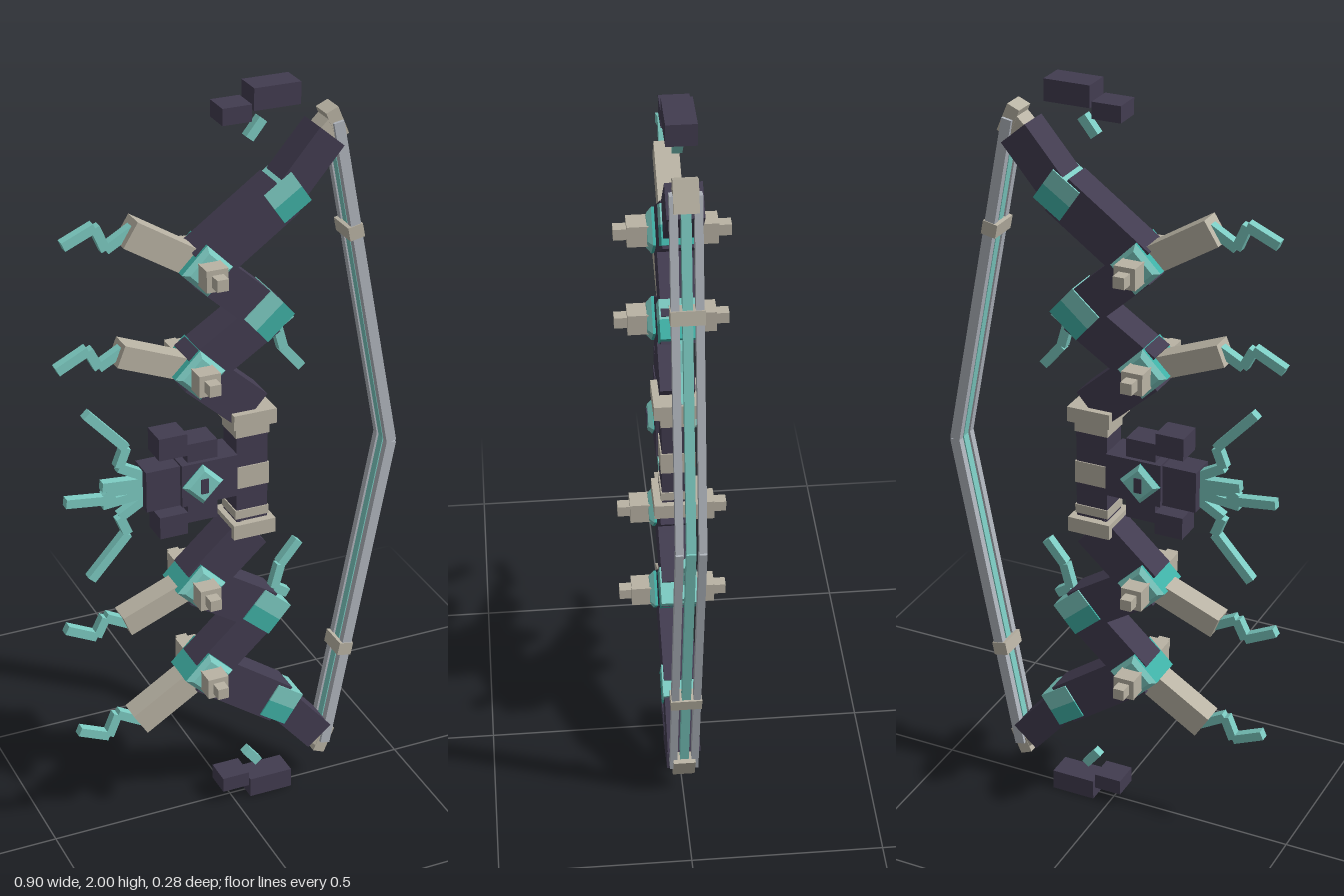
import * as THREE from 'three';

const mat = (name, color) => Object.assign(new THREE.MeshStandardMaterial({ color, flatShading: true }), { name });

export function createModel() {
  const root = new THREE.Group();
  root.name = 'bow';
  const dark = mat('dark violet', 0x423c50);
  const bone = mat('bone', 0xb9b3a4);
  const teal = mat('light teal', 0x7ccbc2);
  const deep = mat('deep teal', 0x3fb0a5);
  const grey = mat('string grey', 0xb0b5bd);

  const add = (name, geo, material, x, y, z = 0, angle = 0) => {
    const m = new THREE.Mesh(geo, material);
    m.name = name;
    m.position.set(x, y, z);
    m.rotation.z = angle;
    root.add(m);
    return m;
  };
  // Axis-aligned block from its limits, z symmetric
  const block = (name, material, x0, x1, y0, y1, hz) =>
    add(name, new THREE.BoxGeometry(x1 - x0, y1 - y0, hz * 2), material, (x0 + x1) / 2, (y0 + y1) / 2);
  // Bar between two points in the xy plane
  const bar = (name, material, a, b, width, depth, z = 0) => {
    const dx = b[0] - a[0], dy = b[1] - a[1];
    return add(name, new THREE.BoxGeometry(Math.hypot(dx, dy), width, depth), material,
      (a[0] + b[0]) / 2, (a[1] + b[1]) / 2, z, Math.atan2(dy, dx));
  };
  // Zigzag of thin bars
  const spark = (pts) => {
    for (let i = 1; i < pts.length; i++) bar('spark', teal, pts[i - 1], pts[i], 0.024, 0.024);
  };
  // Diamond with a bevelled face on the front and on the back
  const diamond = (name, x, y, r, z) => {
    const core = new THREE.CylinderGeometry(r, r, 0.1, 4).rotateX(Math.PI / 2);
    add(name, core, deep, x, y);
    for (const s of [1, -1]) {
      const h = z - 0.05;
      const cap = new THREE.CylinderGeometry(r * 0.75, r, h, 4).rotateX(s * Math.PI / 2);
      add(name + 'Face', cap, [teal, teal, teal], x, y, s * (0.05 + h / 2));
    }
  };

  // Grip with bands
  block('grip', dark, 0, 0.085, 0.84, 1.16, 0.04);
  block('gripBand', bone, -0.003, 0.088, 0.96, 1.02, 0.043);
  for (const y of [0.885, 1.115]) block('gripBand', bone, -0.003, 0.088, y - 0.012, y + 0.012, 0.043);

  // Core cluster in front of the grip
  block('core', dark, -0.15, 0.0, 0.945, 1.06, 0.048);
  block('coreTip', dark, -0.24, -0.15, 0.945, 1.055, 0.036);
  diamond('eye', -0.095, 1, 0.055, 0.062);
  block('pupil', dark, -0.105, -0.085, 0.98, 1.02, 0.065);
  spark([[-0.44, 1.0], [-0.32, 0.985], [-0.335, 1.01], [-0.23, 1.0]]);

  // Upper and lower halves
  for (const s of [1, -1]) {
    const p = (x, y) => [x, 1 + s * (y - 1)];
    const P = (list) => list.map(([x, y]) => p(x, y));
    const mblock = (name, m, x0, x1, y0, y1, hz) => {
      const ys = [p(0, y0)[1], p(0, y1)[1]].sort((a, b) => a - b);
      return block(name, m, x0, x1, ys[0], ys[1], hz);
    };

    mblock('gripCap', bone, -0.015, 0.1, 1.135, 1.175, 0.06);
    mblock('coreBlock', dark, -0.205, -0.13, 1.08, 1.14, 0.036);
    mblock('coreBlock', dark, -0.13, -0.05, 1.05, 1.11, 0.036);

    // Zigzag limb
    const limb = P([[0.045, 1.17], [-0.1, 1.3], [0.085, 1.42], [-0.08, 1.57], [0.13, 1.72], [0.245, 1.855]]);
    const widths = [0.11, 0.11, 0.1, 0.11, 0.085];
    widths.forEach((w, i) => bar('limb', dark, limb[i], limb[i + 1], w, 0.086));

    // Outer elbows, a light upper and a deep lower half
    for (const [x, y, len, w, slope] of [[0.085, 1.42, 0.095, 0.095, 0.72], [0.13, 1.72, 0.085, 0.095, 0.6]]) {
      const [cx, cy] = p(x, y), a = s * slope;
      for (const [m, k] of [[teal, 1], [deep, -1]]) {
        add('elbow', new THREE.BoxGeometry(len, w / 2, 0.094), m,
          cx - k * Math.sin(a) * w / 4, cy + k * Math.cos(a) * w / 4, 0, a);
      }
    }

    // Inner joints with pegs and horns
    for (const [x, y, hx, hy, w] of [[-0.1, 1.3, -0.295, 1.378, 0.058], [-0.08, 1.57, -0.265, 1.685, 0.07]]) {
      const [cx, cy] = p(x, y);
      diamond('joint', cx, cy, 0.066, 0.062);
      add('peg', new THREE.BoxGeometry(0.056, 0.056, 0.22), bone, cx, cy);
      add('pegTip', new THREE.BoxGeometry(0.03, 0.03, 0.284), bone, cx, cy);
      bar('horn', bone, [cx, cy], p(hx, hy), w, 0.06);
    }

    // Limb tip, bowstring and its clasp
    bar('limbTip', bone, p(0.25, 1.915), p(0.28, 1.845), 0.034, 0.058);
    bar('limbTip', bone, p(0.235, 1.845), p(0.265, 1.875), 0.06, 0.056);
    const top = p(0.265, 1.885), mid = p(0.435, 1);
    for (const z of [-0.028, 0.028]) bar('stringEdge', grey, top, mid, 0.027, 0.019, z);
    bar('stringCore', teal, top, mid, 0.024, 0.023);
    bar('stringClasp', bone, p(0.314, 1.615), p(0.321, 1.58), 0.04, 0.08);

    // Floating blocks beyond the tip
    mblock('floatingBlock', dark, 0.045, 0.165, 1.945, 2, 0.036);
    mblock('floatingBlock', dark, -0.035, 0.04, 1.92, 1.962, 0.036);

    // Sparks
    spark(P([[0.045, 1.868], [0.08, 1.912]]));
    spark(P([[-0.425, 1.675], [-0.345, 1.71], [-0.32, 1.65], [-0.25, 1.69]]));
    spark(P([[-0.45, 1.36], [-0.37, 1.4], [-0.345, 1.35], [-0.28, 1.385]]));
    spark(P([[0.16, 1.4], [0.122, 1.375], [0.14, 1.31], [0.19, 1.25]]));
    spark(P([[-0.38, 1.23], [-0.28, 1.12], [-0.3, 1.07], [-0.23, 1.03]]));
    spark(P([[-0.345, 1.025], [-0.23, 1.015]]));
  }
  return root;
}
